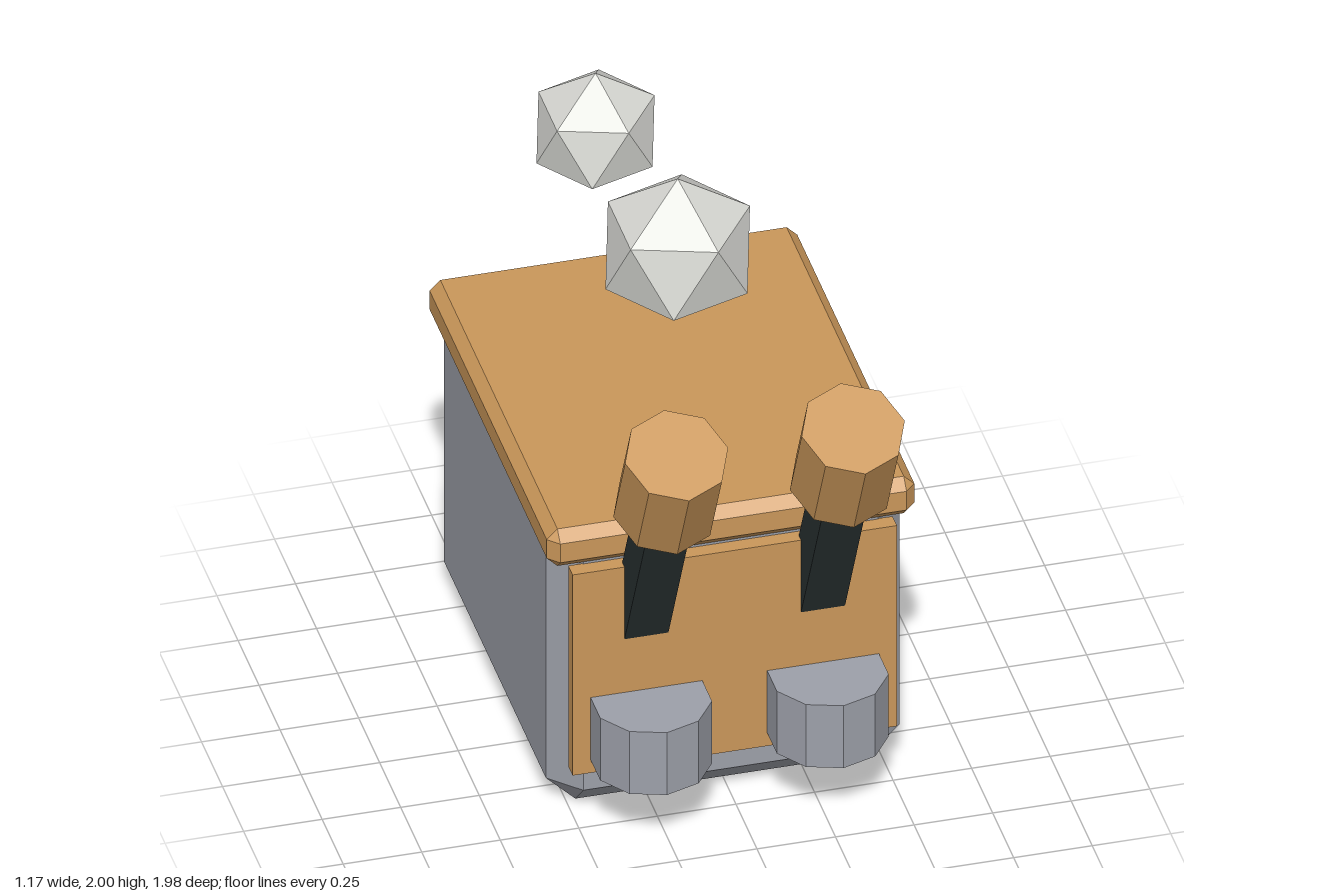
import * as THREE from 'three';
import { ConvexGeometry } from 'three/addons/geometries/ConvexGeometry.js';

const mat = (name, color) => {
  const m = new THREE.MeshStandardMaterial({ color });
  m.name = name;
  m.flatShading = true;
  return m;
};

// Box with every edge cut flat
function chamferBox(w, h, d, c) {
  const pts = [];
  for (const x of [-1, 1]) for (const y of [-1, 1]) for (const z of [-1, 1]) {
    for (let axis = 0; axis < 3; axis++) {
      const inset = [0, 1, 2].map((i) => (i === axis ? 0 : c));
      pts.push(new THREE.Vector3(
        x * (w / 2 - inset[0]), y * (h / 2 - inset[1]), z * (d / 2 - inset[2])));
    }
  }
  return new ConvexGeometry(pts);
}

// Icosahedron standing on a corner
function puffGeometry(r) {
  const pts = [new THREE.Vector3(0, r, 0), new THREE.Vector3(0, -r, 0)];
  const h = r / Math.sqrt(5);
  for (let k = 0; k < 5; k++) {
    const a = (k * Math.PI * 2) / 5;
    const x = 2 * h * Math.cos(a), z = 2 * h * Math.sin(a);
    pts.push(new THREE.Vector3(x, h, z), new THREE.Vector3(-x, -h, z));
  }
  return new ConvexGeometry(pts);
}

export function createModel() {
  const model = new THREE.Group();
  model.name = 'machine';
  const grey = mat('greyMetal', 0x9da0a9);
  const copper = mat('copper', 0xca975a);
  const dark = mat('darkMetal', 0x2a3233);
  const pale = mat('paleSteam', 0xd8d9d4);

  const add = (parent, name, geometry, material, x, y, z) => {
    const mesh = new THREE.Mesh(geometry, material);
    mesh.name = name;
    mesh.position.set(x, y, z);
    parent.add(mesh);
    return mesh;
  };

  // Housing, its top bevel hidden inside the lid
  add(model, 'body', chamferBox(1.126, 1.045, 1.4, 0.094), grey, 0, 0.5225, -0.263);
  add(model, 'lid', chamferBox(1.17, 0.138, 1.46, 0.034), copper, 0, 1.016, -0.26);
  add(model, 'frontPanel', new THREE.BoxGeometry(1.032, 0.75, 0.052), copper, 0, 0.565, 0.46);

  for (const side of [-1, 1]) {
    const name = side > 0 ? 'left' : 'right';

    // Ten-sided step, half sunk into the panel
    add(model, name + 'Step', new THREE.CylinderGeometry(0.187, 0.187, 0.233, 10),
      grey, side * 0.281, 0.355, 0.543);

    // Lever leaning forward, with an octagonal grip
    const lever = new THREE.Group();
    lever.name = name + 'Lever';
    lever.position.set(side * 0.281, 1.29, 0.704);
    lever.rotation.x = THREE.MathUtils.degToRad(25.5);
    add(lever, 'shaft', new THREE.BoxGeometry(0.14, 0.85, 0.14), dark, 0, -0.375, 0);
    add(lever, 'grip', new THREE.CylinderGeometry(0.164, 0.164, 0.325, 8), copper, 0, 0.163, 0);
    model.add(lever);
  }

  // Floating steam puffs
  add(model, 'lowerPuff', puffGeometry(0.257), pale, 0.094, 1.367, -0.543);
  add(model, 'upperPuff', puffGeometry(0.21), pale, -0.143, 1.79, -0.635);
  return model;
}
